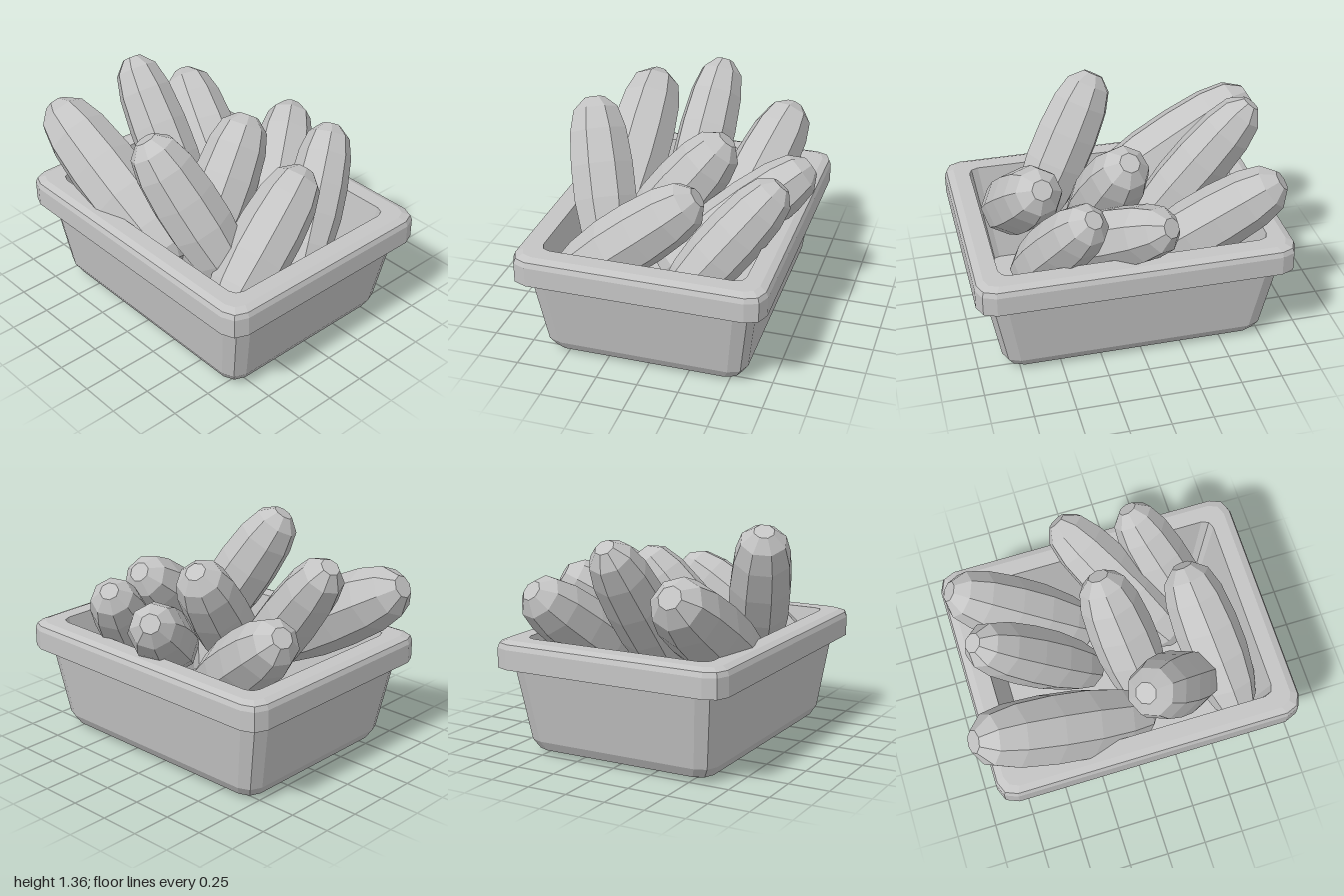
import * as THREE from 'three';

// Rounded rectangle ring: two short facets at each corner
function ring(hx, hz, r, y) {
  const pts = [];
  for (let c = 0; c < 4; c++) {
    const sx = c === 0 || c === 3 ? 1 : -1, sz = c < 2 ? 1 : -1;
    for (let k = 0; k < 3; k++) {
      const a = (c + k / 2) * Math.PI / 2;
      pts.push([sx * (hx - r) + r * Math.cos(a), y, sz * (hz - r) + r * Math.sin(a)]);
    }
  }
  return pts;
}

// Flat-faced skin through a list of rings
function loft(rings) {
  const n = rings[0].length, pos = [];
  for (let i = 0; i < rings.length - 1; i++) {
    for (let j = 0; j < n; j++) {
      const k = (j + 1) % n;
      const a = rings[i][j], b = rings[i][k], c = rings[i + 1][j], d = rings[i + 1][k];
      pos.push(...a, ...c, ...b, ...b, ...c, ...d);
    }
  }
  const g = new THREE.BufferGeometry();
  g.setAttribute('position', new THREE.Float32BufferAttribute(pos, 3));
  g.computeVertexNormals();
  return g;
}

export function createModel() {
  const model = new THREE.Group();
  model.name = 'vegetableTub';
  const grey = new THREE.MeshStandardMaterial({ color: 0xc4c4c4, flatShading: true });
  grey.name = 'lightGrey';

  // Tub: underside, outer wall, rim, inner wall, floor (halfX, halfZ, corner, y)
  const profile = [
    [0, 0, 0, 0], [0.52, 0.70, 0.06, 0], [0.585, 0.775, 0.09, 0.03], [0.62, 0.81, 0.1, 0.09],
    [0.68, 0.895, 0.11, 0.55], [0.757, 0.96, 0.11, 0.55], [0.757, 0.96, 0.11, 0.67],
    [0.745, 0.948, 0.1, 0.7], [0.705, 0.905, 0.08, 0.717], [0.61, 0.81, 0.06, 0.717],
    [0.515, 0.705, 0.05, 0.07], [0, 0, 0, 0.07],
  ];
  const tub = new THREE.Mesh(loft(profile.map((p) => ring(...p))), grey);
  tub.name = 'tub';
  tub.position.set(-0.02, 0, 0.04);
  model.add(tub);

  // Vegetable body: share of length, share of full radius
  const body = [[0, 0], [0, 0.32], [0.06, 0.68], [0.2, 0.88], [0.4, 1], [0.6, 1],
    [0.8, 0.91], [0.93, 0.72], [1, 0.32], [1, 0]];

  // Each vegetable: lower end, upper end, radius
  const vegetables = [
    ['backLeft', [-0.45, 0.45, 0.12], [-0.5, 1.1, -0.97], 0.22],
    ['backMiddle', [-0.07, 0.42, -0.12], [0, 1.31, -0.82], 0.185],
    ['backRight', [0.21, 0.4, -0.06], [0.465, 1.03, -0.87], 0.2],
    ['centre', [-0.34, 0.38, 0.16], [0.25, 1.15, 0], 0.2],
    ['middleRight', [-0.02, 0.43, 0.43], [0.74, 0.99, -0.12], 0.19],
    ['frontRight', [0.1, 0.36, 0.63], [0.66, 1.06, 0.31], 0.18],
    ['front', [-0.58, 0.4, 0.67], [0.22, 1.02, 0.52], 0.2],
    ['frontLeft', [-0.31, 0.46, 0.51], [-0.58, 1.33, 0.03], 0.2],
  ];
  const up = new THREE.Vector3(0, 1, 0);
  for (const [name, low, high, radius] of vegetables) {
    const base = new THREE.Vector3(...low);
    const axis = new THREE.Vector3(...high).sub(base);
    const length = axis.length();
    const points = body.map(([t, r]) => new THREE.Vector2(r * radius, t * length));
    const mesh = new THREE.Mesh(new THREE.LatheGeometry(points, 8), grey);
    mesh.name = name + 'Vegetable';
    mesh.position.copy(base);
    mesh.quaternion.setFromUnitVectors(up, axis.normalize());
    model.add(mesh);
  }
  return model;
}
